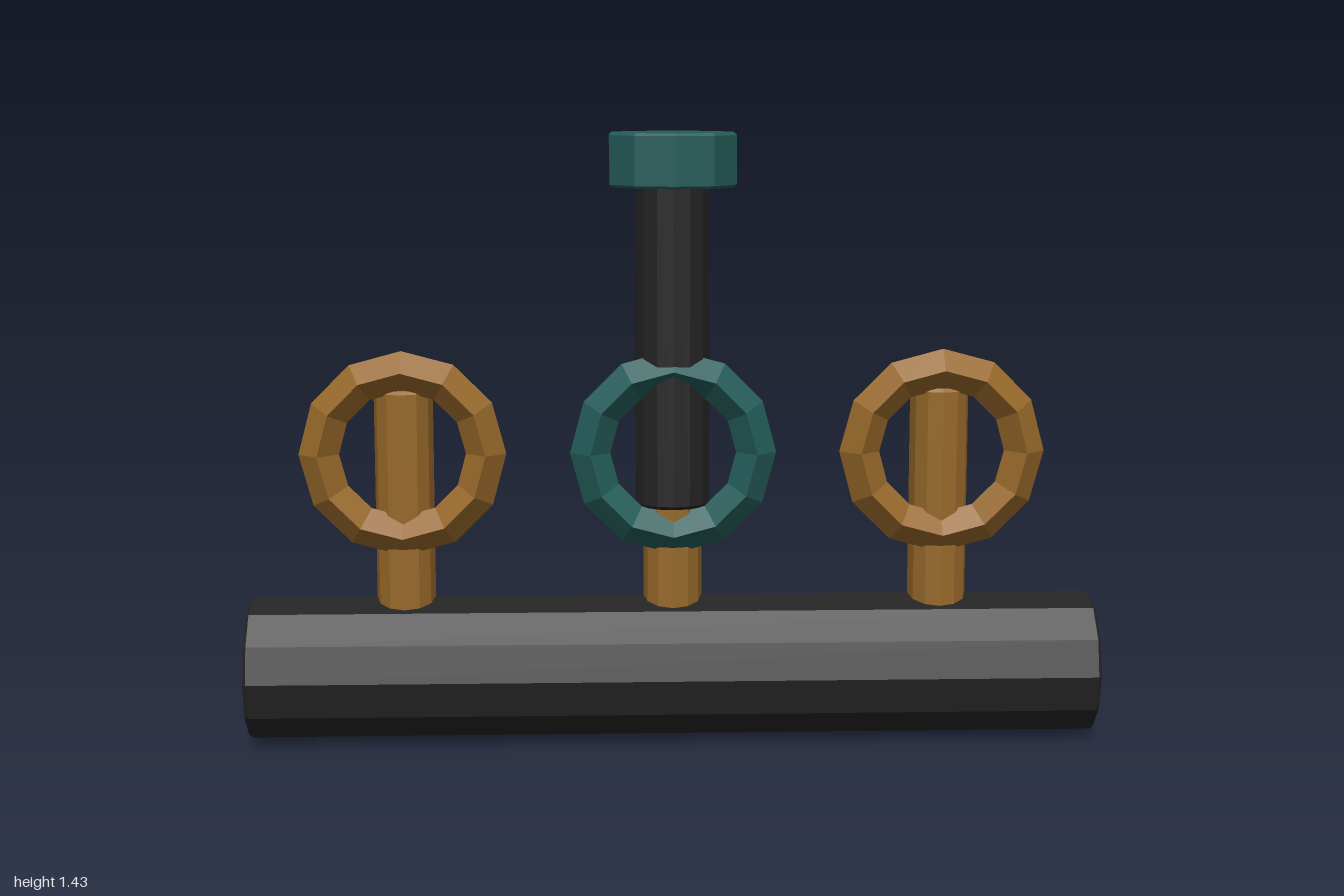
import * as THREE from 'three';

const material = (name, color) => {
  const m = new THREE.MeshStandardMaterial({ color, flatShading: true });
  m.name = name;
  return m;
};

// Faceted bar standing on y = 0, with a small bevel at both ends
function bar(radius, height, sides, bevel) {
  const profile = [
    [0, 0], [radius - bevel, 0], [radius, bevel],
    [radius, height - bevel], [radius - bevel, height], [0, height],
  ].map(([x, y]) => new THREE.Vector2(x, y));
  return new THREE.LatheGeometry(profile, sides);
}

export function createModel() {
  const model = new THREE.Group();
  model.name = 'ringStand';
  const black = material('black', 0x242424);
  const bronze = material('bronze', 0x976829);
  const teal = material('teal', 0x245d59);

  const add = (name, geometry, mat, x, y, z) => {
    const mesh = new THREE.Mesh(geometry, mat);
    mesh.name = name;
    mesh.position.set(x, y, z);
    model.add(mesh);
    return mesh;
  };

  // Horizontal base bar
  add('base', bar(0.17, 2, 12, 0.008), black, 1, 0.172, 0).rotation.z = Math.PI / 2;

  // Three posts, each with a diamond-section ring in front
  const post = bar(0.069, 0.54, 12, 0.008);
  const ring = new THREE.TorusGeometry(0.194, 0.047, 4, 12);
  [['right', -0.63, bronze], ['middle', 0, teal], ['left', 0.63, bronze]].forEach(([side, x, mat]) => {
    add(side + 'Post', post, bronze, x, 0.3, 0);
    add(side + 'Ring', ring, mat, x, 0.692, 0.052);
  });

  // Tall handle sleeve and its cap
  add('handle', bar(0.088, 0.76, 14, 0.008), black, 0, 0.56, 0);
  add('cap', bar(0.154, 0.125, 10, 0.006), teal, 0, 1.308, 0);

  return model;
}
